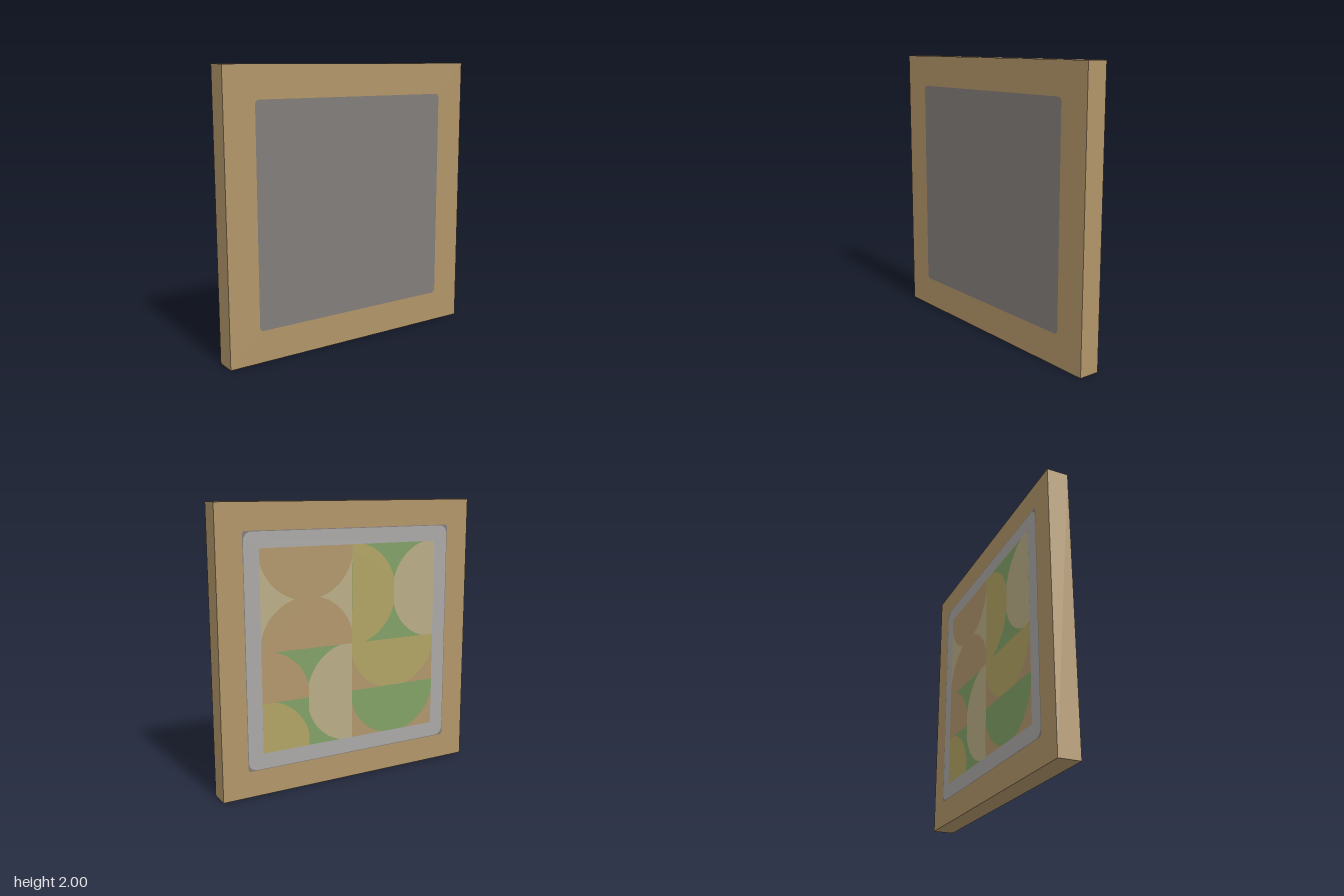
import * as THREE from 'three';

const mat = (name, color) => Object.assign(new THREE.MeshStandardMaterial({ color }), { name });

// Rounded square outline centred on the origin
function roundedSquare(h, r, Type = THREE.Shape) {
  const s = new Type();
  s.absarc(h - r, h - r, r, 0, Math.PI / 2);
  s.absarc(r - h, h - r, r, Math.PI / 2, Math.PI);
  s.absarc(r - h, r - h, r, Math.PI, Math.PI * 1.5);
  s.absarc(h - r, r - h, r, Math.PI * 1.5, Math.PI * 2);
  s.closePath();
  return s;
}

// Outline of a disc cut off by a rectangle [x0, y0, x1, y1]
function clippedDisc(cx, cy, r, [x0, y0, x1, y1]) {
  const pts = [];
  for (let i = 0; i < 72; i++) {
    const a = (i / 72) * Math.PI * 2;
    const p = new THREE.Vector2(
      THREE.MathUtils.clamp(cx + r * Math.cos(a), x0, x1),
      THREE.MathUtils.clamp(cy + r * Math.sin(a), y0, y1)
    );
    if (!pts.length || pts[pts.length - 1].distanceTo(p) > 1e-4) pts.push(p);
  }
  if (pts[0].distanceTo(pts[pts.length - 1]) < 1e-4) pts.pop();
  return new THREE.Shape(pts);
}

export function createModel() {
  const wood = mat('wood', 0xb19569);
  const darkGrey = mat('dark grey', 0x817d79);
  const lightGrey = mat('light grey', 0xaaa8a6);
  const brown = mat('brown', 0xb1966b);
  const beige = mat('beige', 0xb9ad87);
  const olive = mat('olive', 0xb1a364);
  const green = mat('green', 0x82a066);

  const model = new THREE.Group();
  model.name = 'framedPanel';
  const add = (parent, name, geometry, material, z = 0) => {
    const mesh = new THREE.Mesh(geometry, material);
    mesh.name = name;
    mesh.position.z = z;
    parent.add(mesh);
  };

  // Square wooden body
  add(model, 'woodenFrame', new THREE.BoxGeometry(2, 2, 0.153), wood);

  // Plain panel on the front
  add(model, 'frontPanel', new THREE.ShapeGeometry(roundedSquare(0.775, 0.03)), darkGrey, 0.0775);

  // Patterned picture on the back, drawn as seen from behind
  const back = new THREE.Group();
  back.name = 'backPicture';
  back.rotation.y = Math.PI;
  model.add(back);

  add(back, 'backPanel', new THREE.ShapeGeometry(roundedSquare(0.815, 0.02)), darkGrey, 0.0772);
  const border = roundedSquare(0.81, 0.06);
  const q = 0.7;
  border.holes.push(new THREE.Path([[-q, -q], [-q, q], [q, q], [q, -q]].map(p => new THREE.Vector2(...p))));
  add(back, 'border', new THREE.ShapeGeometry(border), lightGrey, 0.078);

  // Four background tiles
  const tiles = [[-1, 1, beige], [1, 1, green], [-1, -1, green], [1, -1, brown]];
  for (const [sx, sy, m] of tiles) {
    const g = new THREE.PlaneGeometry(0.7, 0.7).translate(sx * 0.35, sy * 0.35, 0);
    add(back, 'tile', g, m, 0.078);
  }

  // Half and quarter discs: centre, clipping rectangle, colour
  const h = 0.35;
  const discs = [
    [-h, q, [-q, h, 0, q], brown],
    [-h, 0, [-q, 0, 0, h], brown],
    [0, h, [0, 0, h, q], olive],
    [q, h, [h, 0, q, q], beige],
    [-q, -h, [-q, -h, -h, 0], brown],
    [-q, -q, [-q, -q, -h, -h], olive],
    [0, -h, [-h, -q, 0, 0], beige],
    [h, 0, [0, -h, q, 0], olive],
    [h, -h, [0, -q, q, -h], green],
  ];
  for (const [cx, cy, box, m] of discs) {
    add(back, 'discSegment', new THREE.ShapeGeometry(clippedDisc(cx, cy, 0.363, box)), m, 0.079);
  }

  model.position.y = 1;
  const root = new THREE.Group();
  root.name = 'model';
  root.add(model);
  return root;
}
